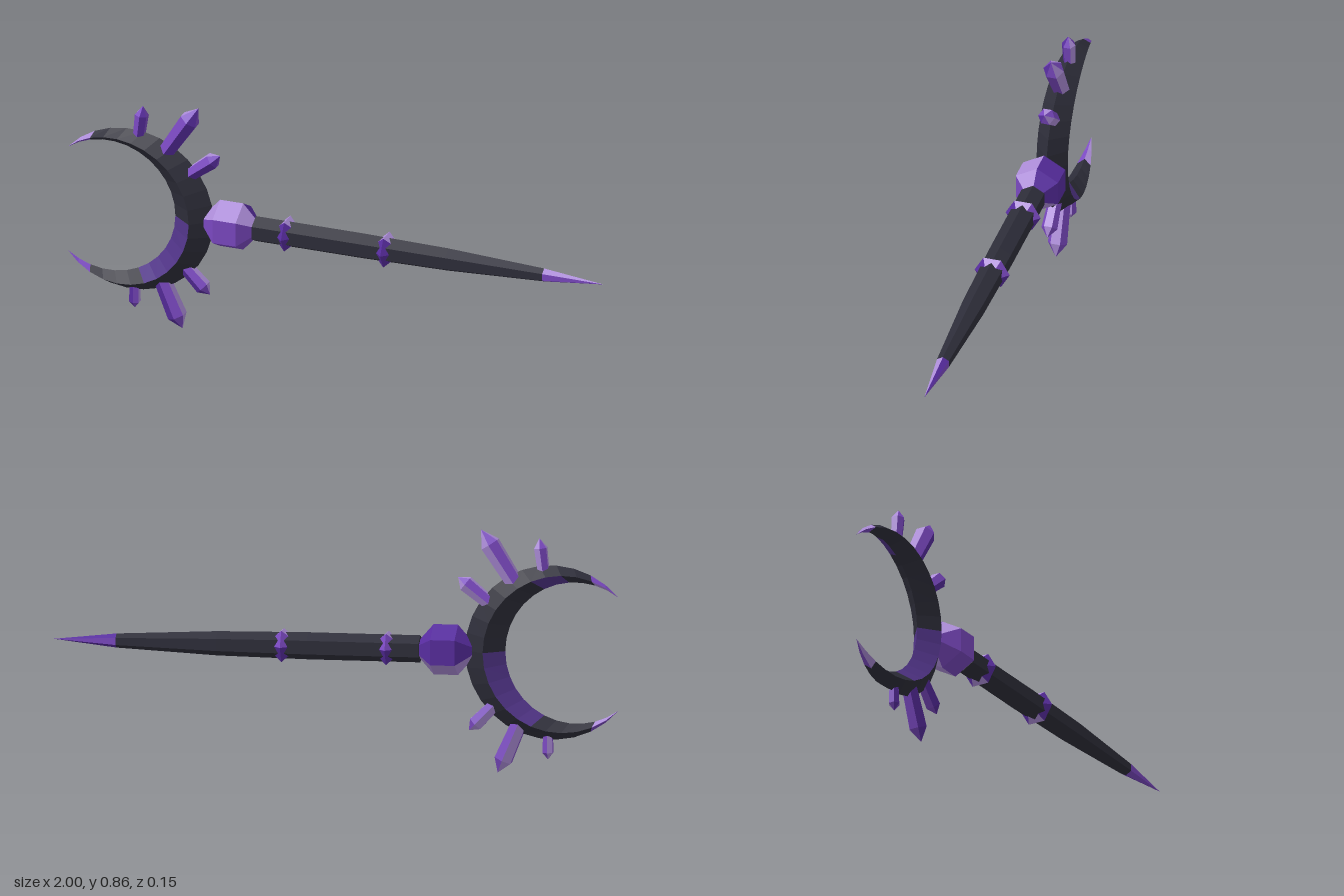
import * as THREE from 'three';

const material = (name, color) => {
  const m = new THREE.MeshStandardMaterial({ color, flatShading: true });
  m.name = name;
  return m;
};

// Material slots
const DARK = 0, LILAC = 1, VIOLET = 2, INDIGO = 3, PLUM = 4;
const AXIS_Y = 0.435;

// Skins a list of rings with flat faces; paint(i, k) picks the slot for segment i, side k
function loft(rings, paint) {
  const n = rings[0].length;
  const bySlot = [[], [], [], [], []];
  const triangle = new THREE.Triangle();
  const add = (slot, a, b, c) => {
    if (triangle.set(a, b, c).getArea() > 1e-8) bySlot[slot].push(a, b, c);
  };
  for (let i = 0; i < rings.length - 1; i++) {
    for (let k = 0; k < n; k++) {
      const a = rings[i][k], b = rings[i][(k + 1) % n];
      const d = rings[i + 1][k], c = rings[i + 1][(k + 1) % n];
      const slot = paint(i, k);
      add(slot, a, d, c);
      add(slot, a, c, b);
    }
  }
  const geometry = new THREE.BufferGeometry().setFromPoints(bySlot.flat());
  let start = 0;
  bySlot.forEach((points, slot) => {
    if (points.length) geometry.addGroup(start, points.length, slot);
    start += points.length;
  });
  geometry.computeVertexNormals();
  return geometry;
}

// Six-sided solid along +y from [height, radius] pairs, one colour slot per side
function hexSolid(profile, sides, turn = 0) {
  const rings = profile.map(([y, r]) => Array.from({ length: 6 }, (_, k) => {
    const a = turn + k * Math.PI / 3;
    return new THREE.Vector3(r * Math.cos(a), y, r * Math.sin(a));
  }));
  return loft(rings, (i, k) => sides[k]);
}

// Crescent blade with a diamond cross-section
function crescentGeometry() {
  const half = 12, rings = [];
  const onCircle = (cx, r, degrees) => {
    const a = THREE.MathUtils.degToRad(degrees);
    return new THREE.Vector3(cx + r * Math.cos(a), AXIS_Y + r * Math.sin(a), 0);
  };
  for (let s = -half; s <= half; s++) {
    const t = s / half;
    const outer = onCircle(-0.763, 0.308, 139.3 * t);
    const inner = onCircle(-0.847, 0.25, 126.7 * t);
    const w = 0.057 * (1 - Math.abs(t) ** 3);
    const front = outer.clone().lerp(inner, 0.5).setZ(w);
    const back = front.clone().setZ(-w);
    rings.push([outer, front, inner, back]);
  }
  return loft(rings, (i, k) => {
    const s = i - half;
    if (s < -10 || s >= 10) return k % 2 ? VIOLET : LILAC; // coloured points
    if (k === 1 || k === 2) {
      if (s >= -6 && s < 0) return PLUM;                   // lower inner inlay
      if (k === 2 && (s === 6 || s === 7)) return PLUM;    // small upper inlay
    }
    return DARK;
  });
}

export function createModel() {
  const group = new THREE.Group();
  group.name = 'crescentStaff';
  const materials = [
    material('charcoal', 0x2d2d39),
    material('lilac', 0xac8cd8),
    material('violet', 0x7a48c0),
    material('indigo', 0x572c9e),
    material('plum', 0x513488),
  ];
  const add = (name, geometry) => {
    const mesh = new THREE.Mesh(geometry, materials);
    mesh.name = name;
    group.add(mesh);
    return mesh;
  };
  // Lays a solid along the staff axis
  const addAlong = (name, x, geometry) => {
    const mesh = add(name, geometry);
    mesh.rotation.z = -Math.PI / 2;
    mesh.position.set(x, AXIS_Y, 0);
  };

  // Shaft and its pointed end
  addAlong('shaft', 0, hexSolid(
    [[-0.297, 0], [-0.297, 0.048], [0.1, 0.048], [0.42, 0.043], [0.778, 0.025], [0.778, 0]],
    Array(6).fill(DARK)));
  addAlong('shaftTip', 0, hexSolid([[0.778, 0], [0.778, 0.025], [1, 0]],
    [VIOLET, VIOLET, LILAC, INDIGO, VIOLET, INDIGO]));

  // Faceted rings, turned so their corners stand on the shaft's flats
  for (const x of [-0.18, 0.19]) {
    addAlong('shaftRing', x, hexSolid([[-0.03, 0], [-0.03, 0.034], [0, 0.064], [0.03, 0.034], [0.03, 0]],
      [INDIGO, INDIGO, LILAC, VIOLET, INDIGO, LILAC], Math.PI / 6));
  }

  // Large gem joining shaft and blade
  addAlong('gem', -0.387, hexSolid(
    [[-0.095, 0], [-0.095, 0.03], [-0.043, 0.089], [0.043, 0.089], [0.095, 0.03], [0.095, 0]],
    [VIOLET, VIOLET, LILAC, INDIGO, INDIGO, LILAC]));

  add('crescentBlade', crescentGeometry());

  // Crystals on the blade: base x, y, tip x, y, radius, point length
  const crystals = [
    [-0.632, 0.675, -0.511, 0.863, 0.037, 0.06],
    [-0.54, 0.605, -0.43, 0.692, 0.03, 0.035],
    [-0.735, 0.7, -0.718, 0.838, 0.025, 0.035],
    [-0.65, 0.19, -0.57, 0.005, 0.035, 0.05],
    [-0.565, 0.25, -0.468, 0.152, 0.029, 0.035],
    [-0.748, 0.16, -0.748, 0.056, 0.021, 0.025],
  ];
  for (const [bx, by, tx, ty, r, point] of crystals) {
    const length = Math.hypot(tx - bx, ty - by);
    const mesh = add('crystal', hexSolid(
      [[0, 0], [0, r * 0.85], [length - point, r], [length, 0]],
      [INDIGO, VIOLET, LILAC, VIOLET, LILAC, VIOLET], Math.PI / 6));
    mesh.position.set(bx, by, 0);
    mesh.rotation.z = Math.atan2(bx - tx, ty - by);
  }
  return group;
}
